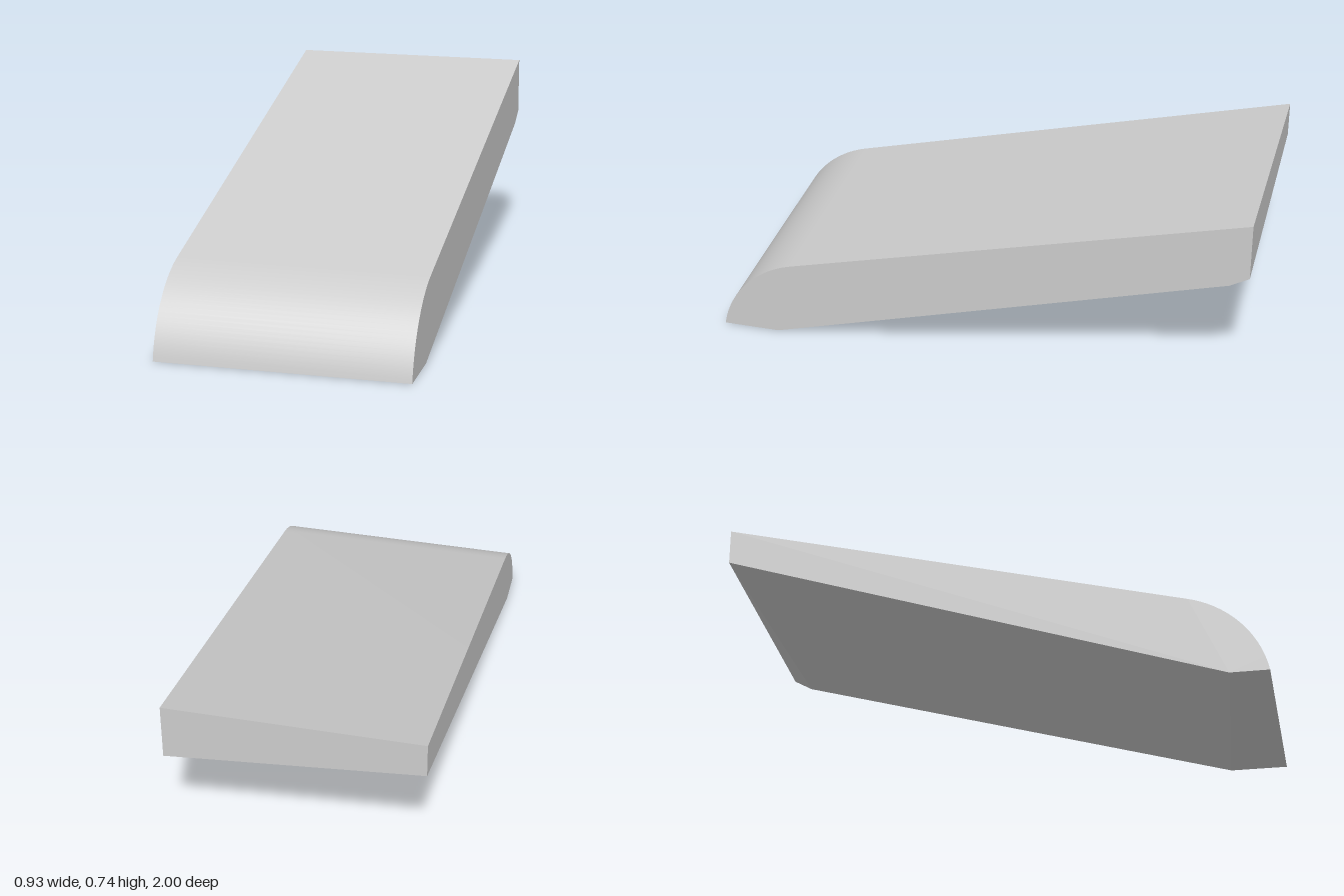
import * as THREE from 'three';
import { toCreasedNormals } from 'three/addons/utils/BufferGeometryUtils.js';

const HALF_WIDTH = 0.464;

// Rounded nose: an arc from the tangent point on the top down to the front edge, as [z, y]
function noseArc(segments) {
  const points = [];
  const from = 1.32, to = 0.18, radius = 0.38;
  for (let i = 0; i <= segments; i++) {
    const a = from + (to - from) * i / segments;
    points.push([0.626 + radius * Math.cos(a), -0.068 + radius * Math.sin(a)]);
  }
  points[segments] = [1, 0];
  return points;
}

// Closed side outline: underside from nose to back, back edge, then the nose
const outline = (underside, x) =>
  [...underside, [-1, 0.74], ...noseArc(24)].map(([z, y]) => new THREE.Vector3(x, y, z));

// Skin two outlines together and cap both ends
function loft(right, left) {
  const corners = [];
  const triangle = (a, b, c) => {
    const t = new THREE.Triangle(a, b, c);
    if (t.getArea() > 1e-7) corners.push(a, b, c);
  };
  const n = right.length;
  for (let i = 0; i < n; i++) {
    const j = (i + 1) % n;
    triangle(right[i], left[i], right[j]);
    triangle(right[j], left[i], left[j]);
    triangle(right[0], right[i], right[j]);
    triangle(left[0], left[j], left[i]);
  }
  const geometry = new THREE.BufferGeometry().setFromPoints(corners);
  geometry.computeVertexNormals();
  return toCreasedNormals(geometry, 0.14);
}

export function createModel() {
  const group = new THREE.Group();
  group.name = 'slopedWedge';

  // The underside is slightly twisted: a small chamfer at the back of one side only
  const plusSide = outline([[0.785, 0], [-0.93, 0.485], [-1, 0.524]], HALF_WIDTH);
  const minusSide = outline([[0.857, 0], [-1, 0.607], [-1, 0.607]], -HALF_WIDTH);

  const slab = new THREE.Mesh(
    loft(plusSide, minusSide),
    new THREE.MeshStandardMaterial({ color: 0xcccccc })
  );
  slab.name = 'slopedSlab';
  group.add(slab);
  return group;
}
